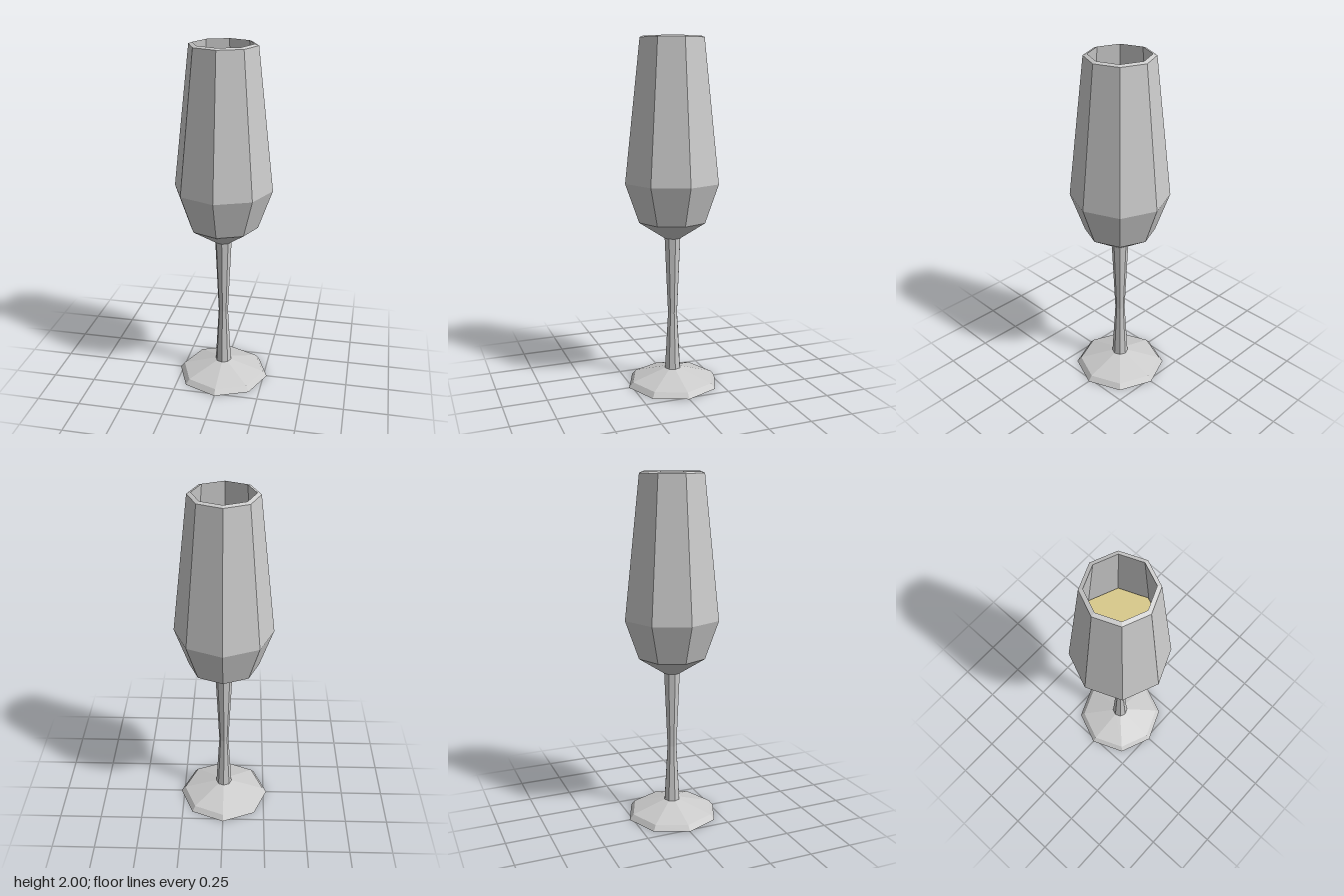
import * as THREE from 'three';

const SIDES = 8;

// Faceted eight-sided part turned from a [radius, height] profile, corners on the axes
function turned(name, profile, color = 0xcccccc) {
  const points = profile.map(([r, y]) => new THREE.Vector2(r, y));
  const geometry = new THREE.LatheGeometry(points, SIDES).toNonIndexed();
  geometry.computeVertexNormals();
  const material = new THREE.MeshStandardMaterial({ color, flatShading: true, side: THREE.DoubleSide });
  const mesh = new THREE.Mesh(geometry, material);
  mesh.name = name;
  return mesh;
}

export function createModel() {
  const glass = new THREE.Group();
  glass.name = 'champagneFlute';

  // Thin foot, hollow underneath
  glass.add(turned('foot', [[0.27, 0], [0.245, 0.03], [0.047, 0.092]]));

  // Hollow stem, pinched in the middle
  glass.add(turned('stem', [[0.047, 0.092], [0.028, 0.43], [0.048, 0.875]]));

  // Bowl: outer wall, sloping rim, then inner wall down to the floor
  glass.add(turned('bowl', [
    [0.048, 0.875], [0.2, 0.975], [0.28, 1.2], [0.189, 1.992],
    [0.167, 2], [0.255, 1.2], [0.182, 0.99], [0.04, 0.9], [0, 0.9],
  ]));

  // Drink filling the lower part of the bowl
  glass.add(turned('drink', [
    [0, 0.905], [0.038, 0.905], [0.179, 0.995], [0.251, 1.2], [0.213, 1.55], [0, 1.55],
  ], 0xd8c98a));

  return glass;
}
